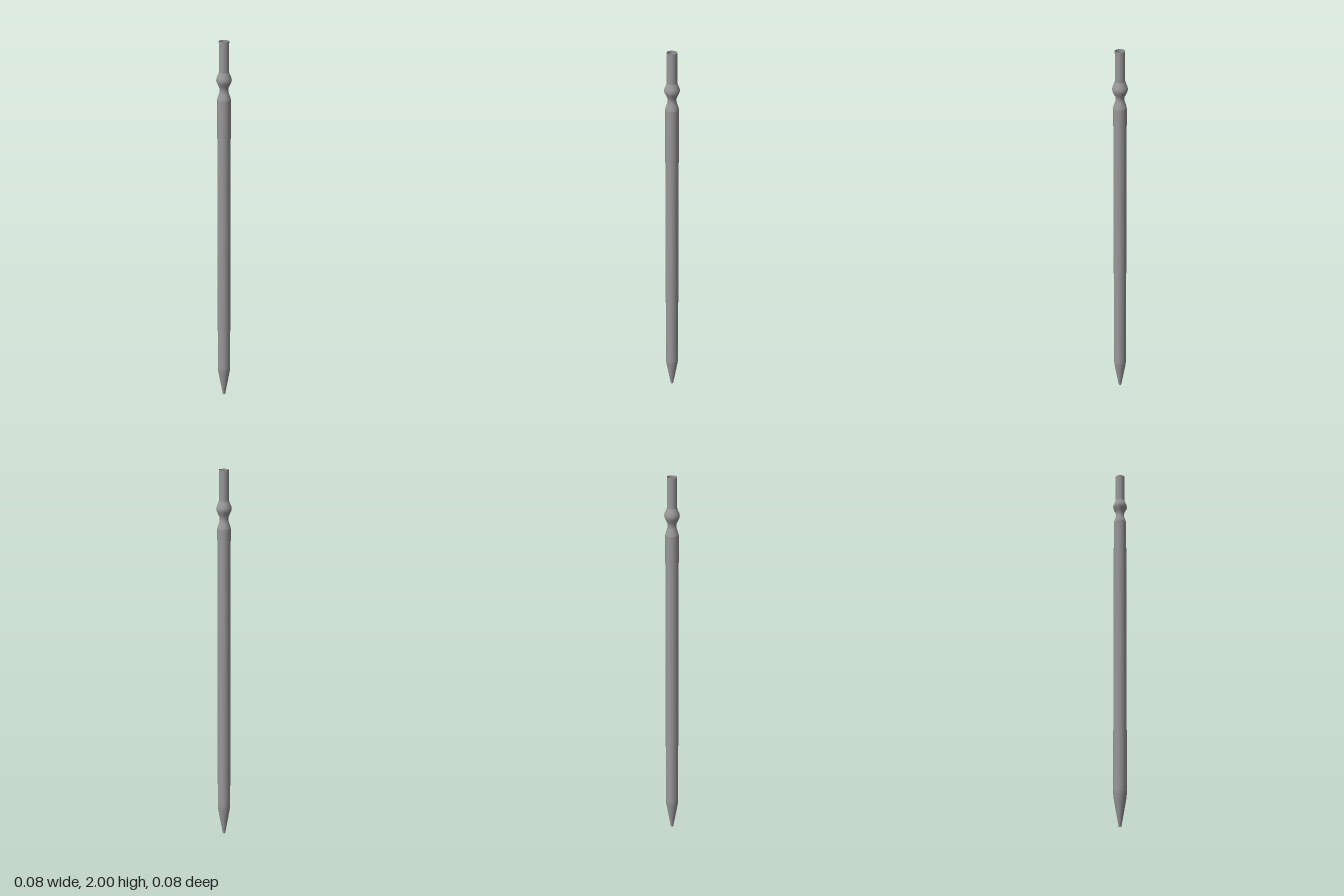
import * as THREE from 'three';

const SIDES = 14;

export function createModel() {
  const group = new THREE.Group();
  const material = new THREE.MeshStandardMaterial({ color: 0x999999, side: THREE.DoubleSide });

  // Each part is a thin, open, turned shell given as [radius, height] pairs from bottom to top
  const turned = (name, profile) => {
    const points = profile.map(([r, y]) => new THREE.Vector2(r, y));
    const mesh = new THREE.Mesh(new THREE.LatheGeometry(points, SIDES), material);
    mesh.name = name;
    group.add(mesh);
  };

  // Blunt end with a pinhole in its middle
  turned('tipEnd', [[0.0035, 0], [0.007, 0]]);

  // Hollow point
  turned('tip', [[0.007, 0], [0.021, 0.08], [0.032, 0.145], [0.034, 0.17]]);

  // Long straight barrel
  turned('barrel', [[0.034, 0.17], [0.034, 1.705]]);

  // Narrow waist and rounded knob
  turned('neckAndKnob', [
    [0.034, 1.705], [0.031, 1.718], [0.024, 1.738], [0.022, 1.75], [0.023, 1.765],
    [0.03, 1.78], [0.036, 1.793], [0.039, 1.805], [0.036, 1.818], [0.03, 1.832], [0.0255, 1.845],
  ]);

  // Open tube at the top
  turned('mouthTube', [[0.0255, 1.845], [0.0255, 2]]);

  return group;
}
